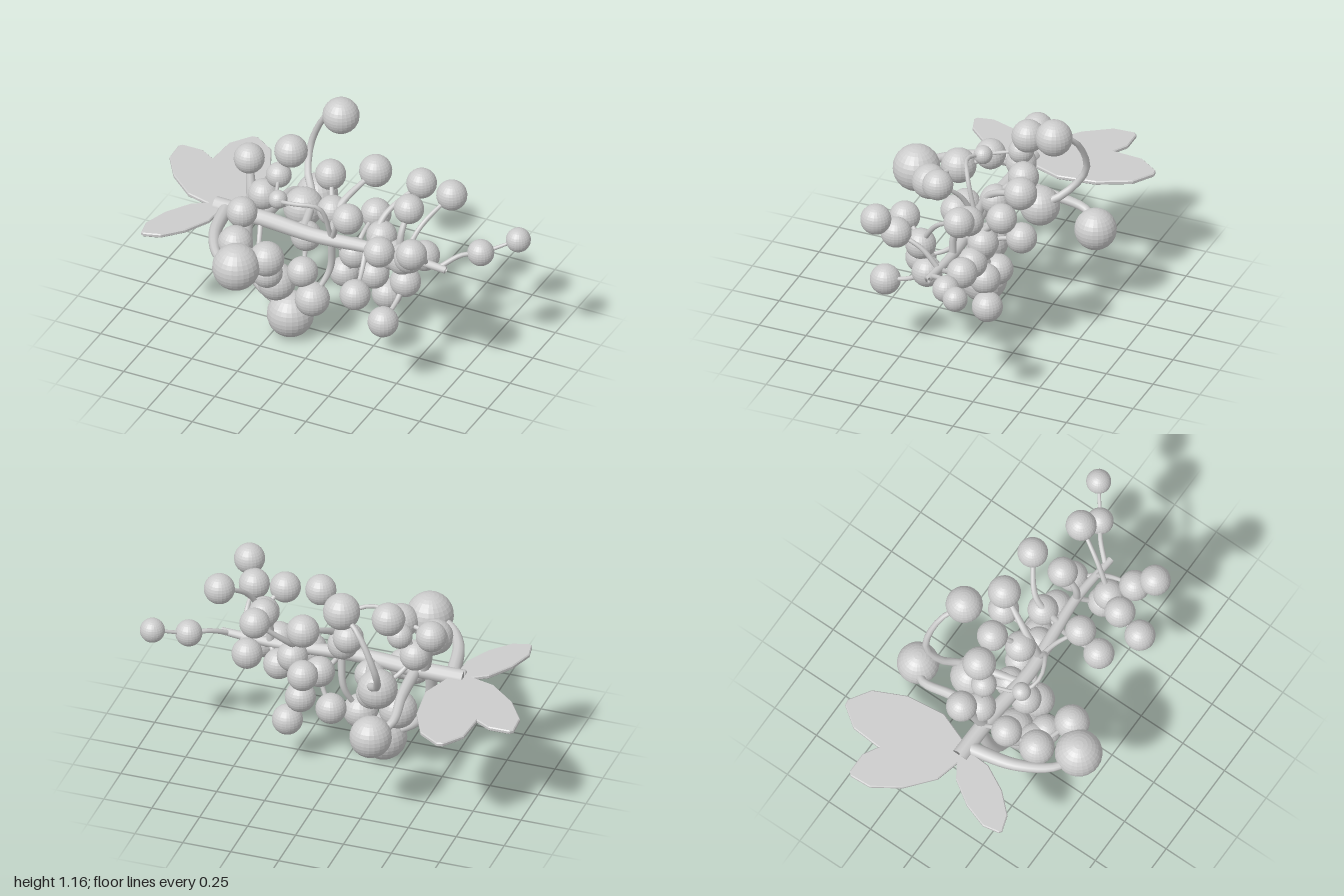
import * as THREE from 'three';

const berryMaterial = new THREE.MeshStandardMaterial({ color: 0xcccccc, flatShading: true });
const stemMaterial = new THREE.MeshStandardMaterial({ color: 0xcccccc });
const leafMaterial = new THREE.MeshStandardMaterial({ color: 0xcccccc, flatShading: true, side: THREE.DoubleSide });
const BERRY_RADIUS = 0.077;

// Point on the gently waving stem axis
const stemPoint = (x) => [x, 0.59, 0.025 - 0.017 * Math.cos((x + 0.06) * 7 + Math.PI)];

// Tapered, capped tube through a few points
function taperedTube(points, r0, r1, steps = 16, sides = 10) {
  const curve = new THREE.CatmullRomCurve3(points.map(([x, y, z]) => new THREE.Vector3(x, y, z)));
  const geo = new THREE.TubeGeometry(curve, steps, 1, sides);
  const pos = geo.attributes.position;
  const centres = curve.getSpacedPoints(steps);
  const v = new THREE.Vector3();
  for (let k = 0; k < pos.count; k++) {
    const ring = Math.floor(k / (sides + 1));
    // the outermost rings close to a point and their neighbours form the rim
    const at = ring === 1 ? 0 : ring === steps - 1 ? steps : ring;
    const radius = ring === 0 || ring === steps ? 0 : r0 + (r1 - r0) * (at / steps) ** 1.6;
    v.fromBufferAttribute(pos, k).sub(centres[ring]).multiplyScalar(radius).add(centres[at]);
    pos.setXYZ(k, v.x, v.y, v.z);
  }
  return geo;
}

// Thin flat leaf lobe from the stem to a blunt tip in x and z
function leafGeometry(tipX, tipZ, halfWidth) {
  const base = new THREE.Vector2(-0.585, -0.01);
  const axis = new THREE.Vector2(tipX, -tipZ).sub(base);
  const across = new THREE.Vector2(-axis.y, axis.x).normalize().multiplyScalar(halfWidth);
  const profile = [[0, 0.28], [0.26, 0.92], [0.58, 1], [0.86, 0.7], [1, 0.1]];
  const edge = (side) => profile.map(([t, w]) => base.clone().addScaledVector(axis, t).addScaledVector(across, side * w));
  const shape = new THREE.Shape([...edge(-1), ...edge(1).reverse()]);
  const geo = new THREE.ExtrudeGeometry(shape, {
    depth: 0.012, bevelThickness: 0.005, bevelSize: 0.005, bevelOffset: -0.005, bevelSegments: 1,
  });
  return geo.rotateX(-Math.PI / 2).translate(0, 0.582, 0);
}

// Long side branches: stem position, end radii, path; a fourth value strings a berry there
const BRANCHES = [
  { at: -0.55, r: [0.036, 0.015], path: [[-0.49, 0.6, 0.27], [-0.38, 0.6, 0.44], [-0.265, 0.607, 0.485, 0.118]] },
  { at: -0.44, r: [0.032, 0.013], path: [[-0.42, 0.42, 0.05], [-0.35, 0.25, 0.08], [-0.165, 0.12, 0.083, 0.117]] },
  { at: -0.36, r: [0.03, 0.018], path: [[-0.36, 0.56, -0.2], [-0.37, 0.51, -0.38], [-0.29, 0.465, -0.462, 0.105]] },
  { at: -0.12, r: [0.022, 0.012], path: [[-0.2, 0.61, -0.23], [-0.28, 0.68, -0.34], [-0.295, 0.8, -0.412], [-0.2, 1, -0.392], [-0.09, 1.07, -0.325, 0.092]] },
  { at: -0.4, r: [0.03, 0.016], path: [[-0.43, 0.7, -0.02], [-0.47, 0.855, -0.075, 0.077]] },
  { at: 0.04, r: [0.022, 0.01], path: [[0.045, 0.74, -0.03], [0.14, 0.86, -0.245, 0.082]] },
  { at: 0.04, r: [0.02, 0.01], path: [[0.02, 0.4, 0.02], [-0.045, 0.243, 0.083, 0.087]] },
  { at: 0.4, r: [0.02, 0.011], path: [[0.4, 0.7, 0], [0.405, 0.81, -0.08, 0.075]] },
  { at: 0.24, r: [0.018, 0.009], path: [[0.25, 0.7, -0.13], [0.39, 0.857, -0.25, 0.076]] },
  { at: 0.62, r: [0.013, 0.007], path: [[0.7, 0.635, -0.06], [0.78, 0.64, -0.118, 0.067], [0.93, 0.692, -0.232, 0.062]] },
  { at: 0.04, r: [0.012, 0.008], path: [[0, 0.8, 0.1], [-0.12, 0.82, 0.15], [-0.22, 0.795, 0.11, 0.047], [-0.3, 0.815, -0.06, 0.064]] },
];

// Short-stalked berries, grouped by where they spring from the stem, inner ones first
const CLUSTERS = [
  { at: -0.42, berries: [[-0.37, 0.7, -0.03], [-0.4, 0.69, 0.147], [-0.23, 0.57, -0.19, 0.1], [-0.36, 0.61, 0.3, 0.088], [-0.155, 0.617, 0.368, 0.088], [-0.26, 0.935, -0.115, 0.083]] },
  { at: -0.36, berries: [[-0.28, 0.45, 0.23], [-0.21, 0.45, 0.25], [-0.24, 0.29, 0.085, 0.095]] },
  { at: -0.15, berries: [[-0.13, 0.53, -0.02], [-0.11, 0.37, 0.06]] },
  { at: 0.04, berries: [[0, 0.7, -0.05], [0.13, 0.5, -0.03], [-0.07, 0.82, -0.17], [0.05, 0.335, -0.085], [0.14, 0.605, -0.25], [0.195, 0.84, 0.175]] },
  { at: 0.22, berries: [[0.25, 0.6, -0.09], [0.21, 0.37, -0.085], [0.265, 0.248, -0.12], [0.265, 0.45, 0.235]] },
  { at: 0.4, berries: [[0.33, 0.525, -0.065], [0.48, 0.517, 0.11], [0.48, 0.67, 0.145], [0.41, 0.76, 0.26], [0.47, 0.412, 0.338], [0.62, 0.932, -0.12]] },
  { at: 0.55, berries: [[0.49, 0.56, -0.08], [0.565, 0.76, 0.24], [0.62, 0.845, 0.325]] },
];

const distance = (a, b) => Math.hypot(a[0] - b[0], a[1] - b[1], a[2] - b[2]);

export function createModel() {
  const model = new THREE.Group();
  const add = (name, geo, mat) => {
    const mesh = new THREE.Mesh(geo, mat);
    mesh.name = name;
    model.add(mesh);
    return mesh;
  };
  const sphere = new THREE.SphereGeometry(1, 24, 16);
  const addBerry = ([x, y, z, r = BERRY_RADIUS]) => {
    const berry = add('berry', sphere, berryMaterial);
    berry.position.set(x, y, z);
    berry.scale.setScalar(r);
  };

  // Main stem
  add('mainStem', taperedTube([-0.61, -0.35, -0.05, 0.2, 0.4, 0.66].map(stemPoint), 0.043, 0.018, 28, 12), stemMaterial);

  // Long branches and the berries strung on them
  for (const { at, r, path } of BRANCHES) {
    add('branch', taperedTube([stemPoint(at), ...path], ...r), stemMaterial);
    path.filter((p) => p.length === 4).forEach(addBerry);
  }

  // Clustered berries, each stalk forking from the nearest stem point or inner berry
  for (const { at, berries } of CLUSTERS) {
    berries.forEach((berry, n) => {
      const root = [stemPoint(at), ...berries.slice(0, n)].reduce((a, b) => (distance(b, berry) < distance(a, berry) ? b : a));
      const bend = [0.4, 0.6, 0.4].map((t, i) => root[i] + (berry[i] - root[i]) * t);
      add('berryStalk', taperedTube([root, bend, berry], 0.014, 0.009, 12, 8), stemMaterial);
      addBerry(berry);
    });
  }

  // Leaves at the thick end of the stem: a two-lobed one behind, a single one in front
  add('backLeafLobe', leafGeometry(-0.7, -0.605, 0.155), leafMaterial);
  add('sideLeafLobe', leafGeometry(-0.995, -0.375, 0.125), leafMaterial);
  add('frontLeaf', leafGeometry(-0.82, 0.405, 0.095), leafMaterial);
  return model;
}
